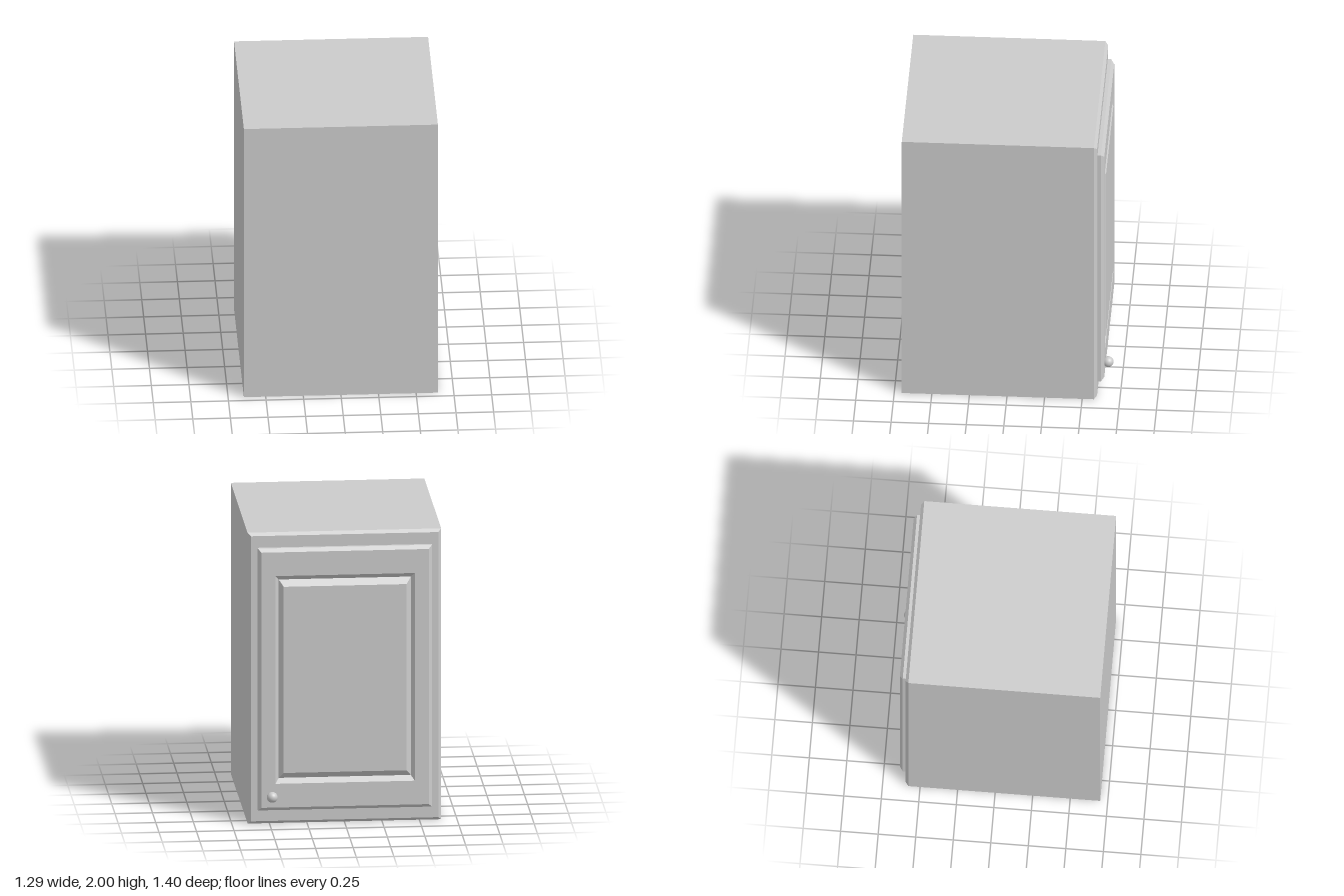
import * as THREE from 'three';

const material = new THREE.MeshStandardMaterial({ color: 0xcccccc });

// Flat-faced skin through rectangular sections [halfWidth, halfHeight, z],
// running towards -z and closed at both ends.
function rectLoft(name, sections) {
  const rings = sections.map(([w, h, z]) =>
    [[-w, -h, z], [w, -h, z], [w, h, z], [-w, h, z]]);
  const positions = [];
  const quad = (a, b, c, d) => positions.push(...a, ...b, ...c, ...a, ...c, ...d);
  quad(...rings[0]);
  for (let i = 0; i < rings.length - 1; i++) {
    const a = rings[i], b = rings[i + 1];
    for (let j = 0; j < 4; j++) {
      const k = (j + 1) % 4;
      quad(a[j], b[j], b[k], a[k]);
    }
  }
  const end = rings[rings.length - 1];
  quad(end[0], end[3], end[2], end[1]);

  const geometry = new THREE.BufferGeometry();
  geometry.setAttribute('position', new THREE.Float32BufferAttribute(positions, 3));
  geometry.computeVertexNormals();
  const mesh = new THREE.Mesh(geometry, material);
  mesh.name = name;
  mesh.position.y = 1;
  return mesh;
}

export function createModel() {
  const group = new THREE.Group();
  group.name = 'cabinet';

  // Box body with a chamfered rim on the door side
  group.add(rectLoft('cabinetBody', [
    [0.645, 1, 0.7],
    [0.645, 1, -0.578],
    [0.625, 0.98, -0.598],
  ]));

  // Door: chamfered frame, V-shaped groove and raised centre panel
  group.add(rectLoft('door', [
    [0.58, 0.9, -0.597],
    [0.58, 0.9, -0.621],
    [0.557, 0.877, -0.642],
    [0.464, 0.714, -0.642],
    [0.44, 0.682, -0.61],
    [0.41, 0.64, -0.645],
  ]));

  // Round knob in the lower corner
  const knob = new THREE.Mesh(new THREE.SphereGeometry(0.036, 32, 20), material);
  knob.name = 'knob';
  knob.position.set(0.488, 0.2, -0.664);
  group.add(knob);

  return group;
}
